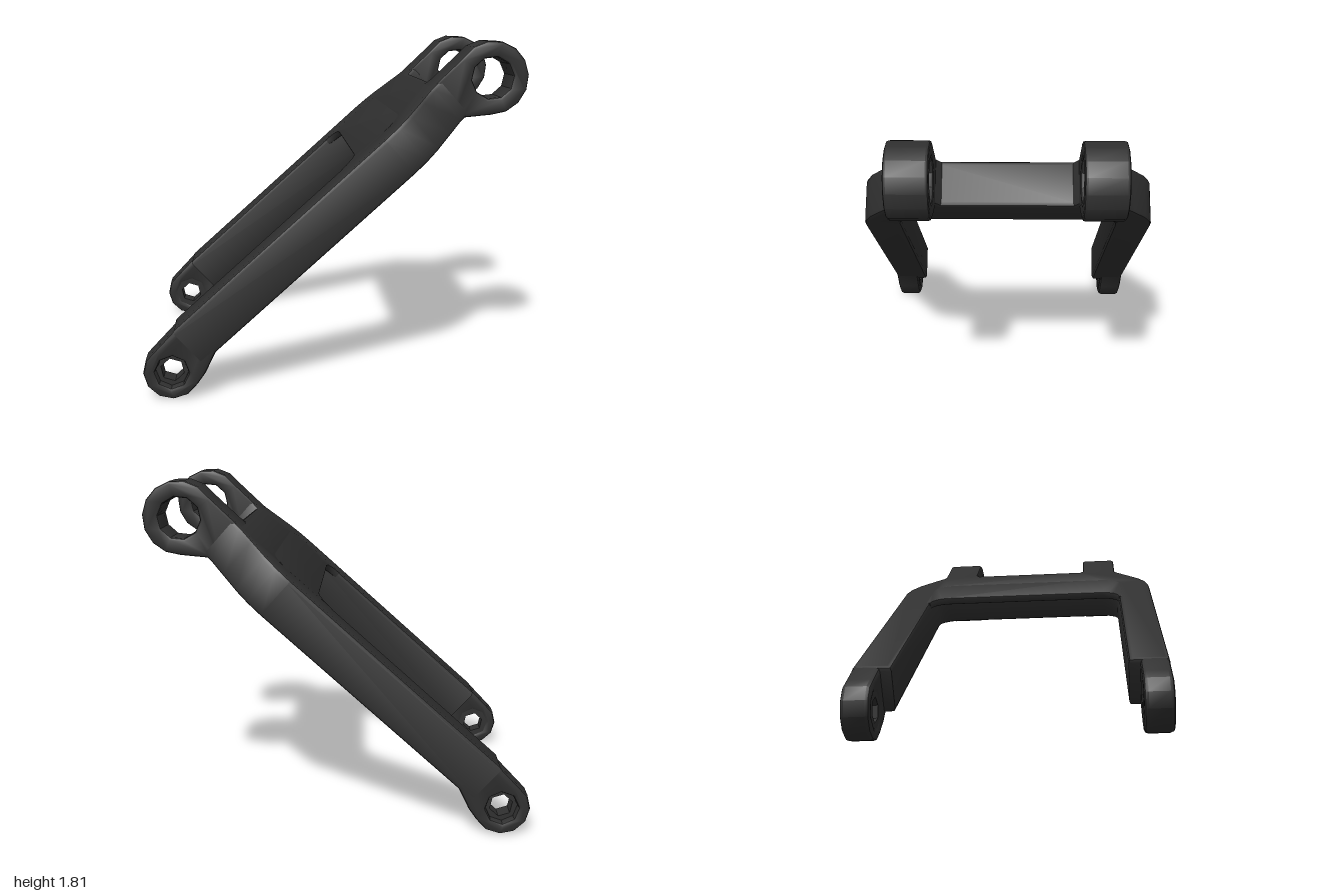
import * as THREE from 'three';
import { toCreasedNormals } from 'three/addons/utils/BufferGeometryUtils.js';

const material = new THREE.MeshStandardMaterial({ color: 0x303030 });
const V = (x, y) => new THREE.Vector2(x, y);

// Points of a polygonal arc, angles in degrees
function arc(cx, cy, r, from, to, steps) {
  return Array.from({ length: steps + 1 }, (_, i) => {
    const a = THREE.MathUtils.degToRad(from + (to - from) * i / steps);
    return V(cx + r * Math.cos(a), cy + r * Math.sin(a));
  });
}

const ring = (cx, cy, r, sides) => arc(cx, cy, r, 0, 360, sides).slice(0, sides);

// Bevelled slab from an outline, running from depth z0 to z1
function slab(outline, holes, z0, z1, bevel) {
  const shape = new THREE.Shape(outline);
  holes.forEach(h => shape.holes.push(new THREE.Path(h)));
  const g = new THREE.ExtrudeGeometry(shape, {
    depth: z1 - z0 - 2 * bevel, bevelEnabled: bevel > 0, bevelThickness: bevel,
    bevelSize: bevel, bevelOffset: -bevel, bevelSegments: 2,
  });
  g.translate(0, 0, z0 + bevel);
  return g;
}

function add(parent, name, geometry) {
  const mesh = new THREE.Mesh(toCreasedNormals(geometry, 0.55), material);
  mesh.name = name;
  parent.add(mesh);
  return mesh;
}

// Completes a half outline by mirroring it across the centre line
const mirrored = half => [...half, ...half.slice().reverse().map(p => V(p.x, -p.y))];

export function createModel() {
  const model = new THREE.Group();
  model.name = 'swingArm';

  // Local x runs up along the arm, y is its thickness, z its width
  const arm = new THREE.Group();
  arm.name = 'armAssembly';
  arm.position.set(-0.855, 0.148, 0);
  arm.rotation.z = THREE.MathUtils.degToRad(42);
  model.add(arm);

  // Thick fork frame: two legs, shoulders and the cross member
  const frame = mirrored([
    ...arc(1.62, 0.465, 0.1, 0, 90, 4),
    V(0.15, 0.565), V(0.15, 0.76), V(1.6, 0.76),
    V(1.69, 0.745), V(1.77, 0.71), V(1.87, 0.64), V(1.96, 0.575),
    V(2.06, 0.545), V(2.06, 0.37), V(1.985, 0.325),
  ]);
  const frameGeo = slab(frame, [], -0.076, 0.16, 0.022);
  add(arm, 'forkFrame', frameGeo.rotateX(-Math.PI / 2));

  // Thin web covering the upper side between the legs
  const web = mirrored([
    ...arc(1.33, 0.465, 0.1, 0, 90, 4),
    V(1.33, 0.62), V(1.85, 0.62),
  ]);
  const webGeo = slab(web, [], 0.118, 0.159, 0.006);
  add(arm, 'webPlate', webGeo.rotateX(-Math.PI / 2));

  // Lower eye flaring into the leg
  const lowerEye = [
    V(0.5, -0.074), V(0.5, 0.158), V(0.16, 0.156),
    ...arc(0, 0, 0.147, 80, 290, 7),
    V(0.12, -0.122), V(0.234, -0.076),
  ];

  // Upper lug: neck and large eye
  const ux = 2.224, uy = -0.018;
  const upperLug = [
    V(1.88, 0.158), V(1.88, -0.074), V(1.985, -0.076),
    ...arc(ux, uy, 0.19, -132, 105, 10),
  ];

  for (const side of [1, -1]) {
    const prefix = side > 0 ? 'left' : 'right';
    const span = (a, b) => side > 0 ? [a, b] : [-b, -a];
    const put = (name, outline, hole, a, b, bevel) =>
      add(arm, prefix + name, slab(outline, [hole], ...span(a, b), bevel));

    put('LowerEye', lowerEye, ring(0, 0, 0.085, 8), 0.62, 0.759, 0.02);
    // Seat inside the counterbore with the bolt hole
    put('BoltSeat', ring(0, 0, 0.11, 8), ring(0, 0, 0.062, 6), 0.625, 0.715, 0);
    put('UpperLug', upperLug, ring(ux, uy, 0.108, 10), 0.352, 0.56, 0.015);
  }
  return model;
}
